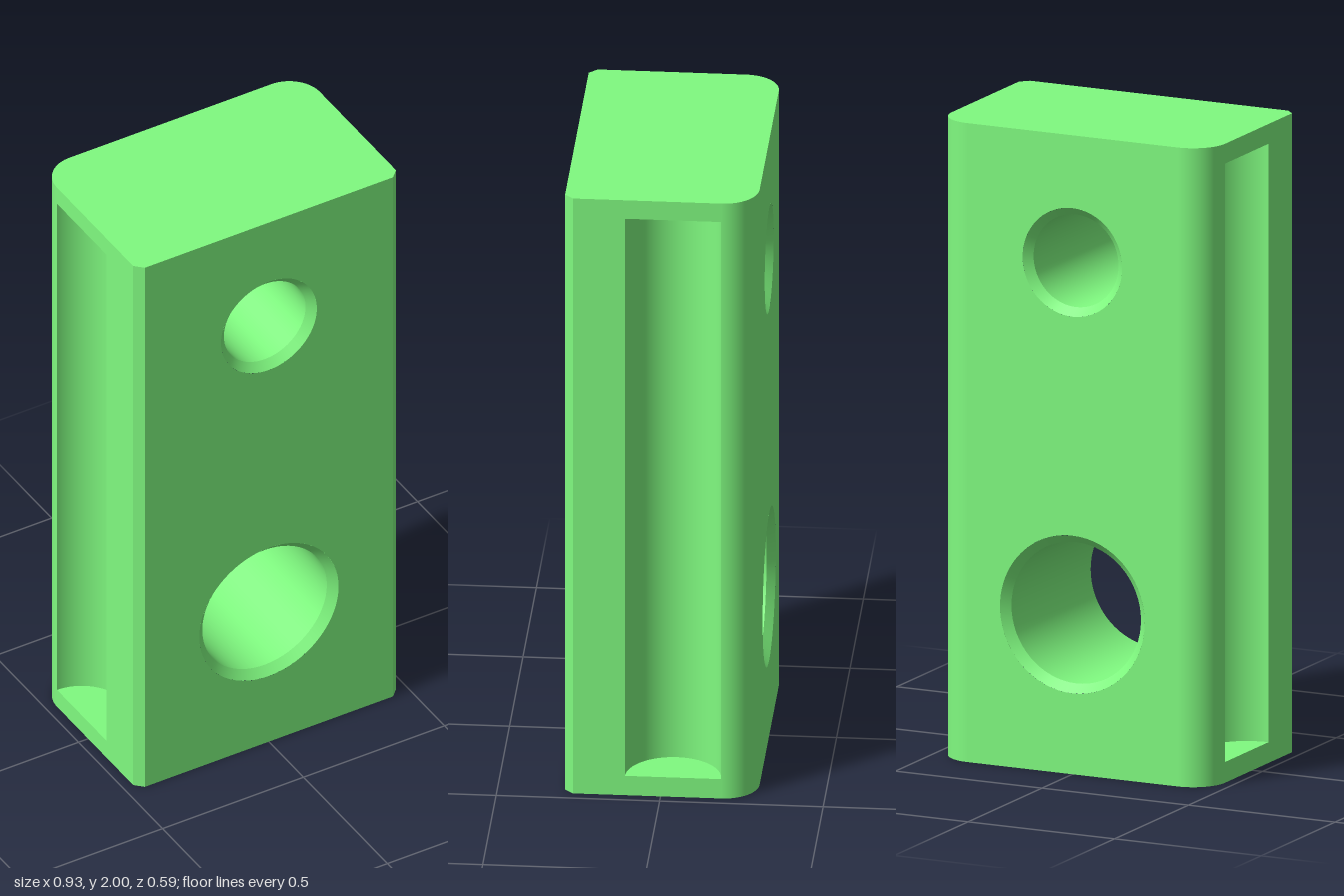
import * as THREE from 'three';
import { toCreasedNormals } from 'three/addons/utils/BufferGeometryUtils.js';

const W = 0.466, D = 0.294, H = 2;      // half width, half depth, height
const R = 0.108, C = 0.026;             // rear corner radius, front chamfer
const SLOT = { z: -0.038, r: 0.147, y0: 0.065, y1: 1.938 };
const BORES = [
  { name: 'upperBore', y: 1.602, r: 0.145, rim: 0.17 },
  { name: 'lowerBore', y: 0.5, r: 0.221, rim: 0.247 },
];

const rect = (Kind, x0, x1, y0, y1) => new Kind([
  new THREE.Vector2(x0, y0), new THREE.Vector2(x1, y0),
  new THREE.Vector2(x1, y1), new THREE.Vector2(x0, y1),
]);

export function createModel() {
  const model = new THREE.Group();
  model.name = 'block';
  const solid = new THREE.MeshStandardMaterial({ color: 0x80fa80 });
  const hollow = new THREE.MeshStandardMaterial({ color: 0x80fa80, side: THREE.DoubleSide });
  const add = (name, geometry, x, y, z, material = solid) => {
    const mesh = new THREE.Mesh(geometry, material);
    mesh.name = name;
    mesh.position.set(x, y, z);
    model.add(mesh);
  };

  // Front and back faces, pierced by the two bores
  const pierced = (half) => {
    const shape = rect(THREE.Shape, -half, half, 0, H);
    for (const b of BORES) shape.holes.push(new THREE.Path().absarc(0, b.y, b.rim, 0, Math.PI * 2, true));
    return new THREE.ShapeGeometry(shape, 64);
  };
  add('frontFace', pierced(W - C), 0, 0, D);
  add('backFace', pierced(W - R).rotateY(Math.PI), 0, 0, -D);

  // Bore linings, countersunk at both ends
  for (const b of BORES) {
    const sink = b.rim - b.r;
    const profile = [[b.rim, -D], [b.r, -D + sink], [b.r, D - sink], [b.rim, D]]
      .map(([x, y]) => new THREE.Vector2(x, y));
    const lining = toCreasedNormals(new THREE.LatheGeometry(profile, 64), 0.5);
    add(b.name, lining.rotateX(Math.PI / 2), 0, b.y, 0, hollow);
  }

  // Top and bottom: chamfered in front, rounded at the back
  const outline = new THREE.Shape();
  outline.moveTo(-W + C, -D);
  outline.lineTo(W - C, -D);
  outline.lineTo(W, -D + C);
  outline.absarc(W - R, D - R, R, 0, Math.PI / 2);
  outline.absarc(-W + R, D - R, R, Math.PI / 2, Math.PI);
  outline.lineTo(-W, -D + C);
  const cap = new THREE.ShapeGeometry(outline, 16).rotateX(-Math.PI / 2);
  add('topFace', cap, 0, H, 0);
  // same outline with reversed winding, so it faces down
  const under = cap.clone();
  under.setIndex([...under.index.array].reverse());
  under.computeVertexNormals();
  add('bottomFace', under, 0, 0, 0);

  for (const s of [1, -1]) {
    const side = s > 0 ? 'left' : 'right';

    // Side face with the slot opening
    const wall = [-s * (D - C), s * (D - R)].sort((a, b) => a - b);
    const face = rect(THREE.Shape, wall[0], wall[1], 0, H);
    const mid = -s * SLOT.z;
    face.holes.push(rect(THREE.Path, mid - SLOT.r, mid + SLOT.r, SLOT.y0, SLOT.y1));
    add(side + 'Face', new THREE.ShapeGeometry(face).rotateY(s * Math.PI / 2), s * W, 0, 0);

    // Rounded rear edge and chamfered front edge
    const round = new THREE.CylinderGeometry(R, R, H, 16, 1, true, s > 0 ? Math.PI / 2 : Math.PI, Math.PI / 2);
    add(side + 'RearEdge', round, s * (W - R), H / 2, -D + R);
    const chamfer = new THREE.PlaneGeometry(C * Math.SQRT2, H).rotateY(s * Math.PI / 4);
    add(side + 'FrontChamfer', chamfer, s * (W - C / 2), H / 2, D - C / 2);

    // Half-round slot with flat ends
    const { r, y0, y1, z } = SLOT;
    const trough = new THREE.CylinderGeometry(r, r, y1 - y0, 32, 1, true, s > 0 ? Math.PI : 0, Math.PI);
    add(side + 'Slot', trough, s * W, (y0 + y1) / 2, z, hollow);
    const start = s * Math.PI / 2;
    for (const [end, y, turn] of [['Floor', y0, -1], ['Ceiling', y1, 1]]) {
      const disc = new THREE.CircleGeometry(r, 32, start, Math.PI).rotateX(turn * Math.PI / 2);
      add(side + 'Slot' + end, disc, s * W, y, z, hollow);
    }
  }
  return model;
}
